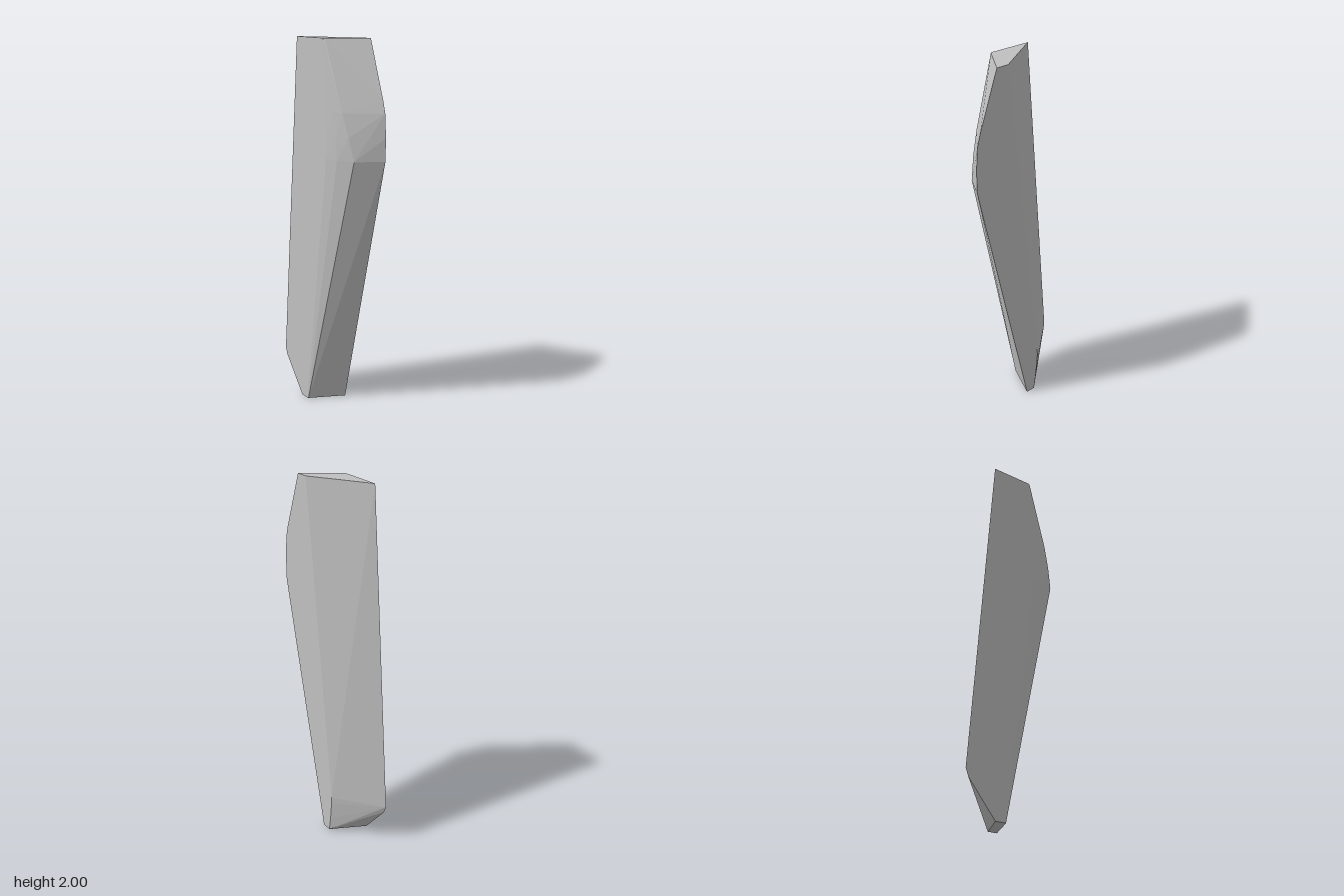
import * as THREE from 'three';
import { ConvexGeometry } from 'three/addons/geometries/ConvexGeometry.js';

// Half width of the slab
const W = 0.097;

// Cross-sections from top to foot: height, then corners as [x, z]
const sections = [
  [2.0, [W, 0.13], [W, 0.2], [-0.09, 0.072], [-W, 0.063], [-W, -0.18]],
  [1.7, [W, 0.31], [-0.075, 0.165], [-W, 0.075]],
  [1.64, [W, 0.327], [-0.068, 0.192], [-0.087, 0.14], [-W, 0.082]],
  [1.52, [W, 0.336], [-0.054, 0.228], [-0.083, 0.158], [-W, 0.088]],
  [1.4, [W, 0.334], [-0.038, 0.255], [-0.08, 0.165], [-W, 0.09]],
  // heel, where the back bevel begins
  [0.23, [W, -0.089], [-W, -0.335]],
  [0.19, [W, -0.088], [-W, -0.32]],
  [0.08, [W, -0.077], [-W, -0.228]],
  [0.0, [W, -0.065], [W, -0.01], [-0.095, -0.097], [-W, -0.102], [-W, -0.16]],
];

export function createModel() {
  const group = new THREE.Group();
  group.name = 'shard';

  const grey = new THREE.MeshStandardMaterial({ color: 0xc0c0c0 });
  grey.name = 'plain grey';

  // One convex faceted solid wrapped around the cross-sections
  const points = sections.flatMap(([y, ...corners]) =>
    corners.map(([x, z]) => new THREE.Vector3(x, y, z)));
  const blade = new THREE.Mesh(new ConvexGeometry(points), grey);
  blade.name = 'facetedSlab';
  group.add(blade);

  return group;
}
